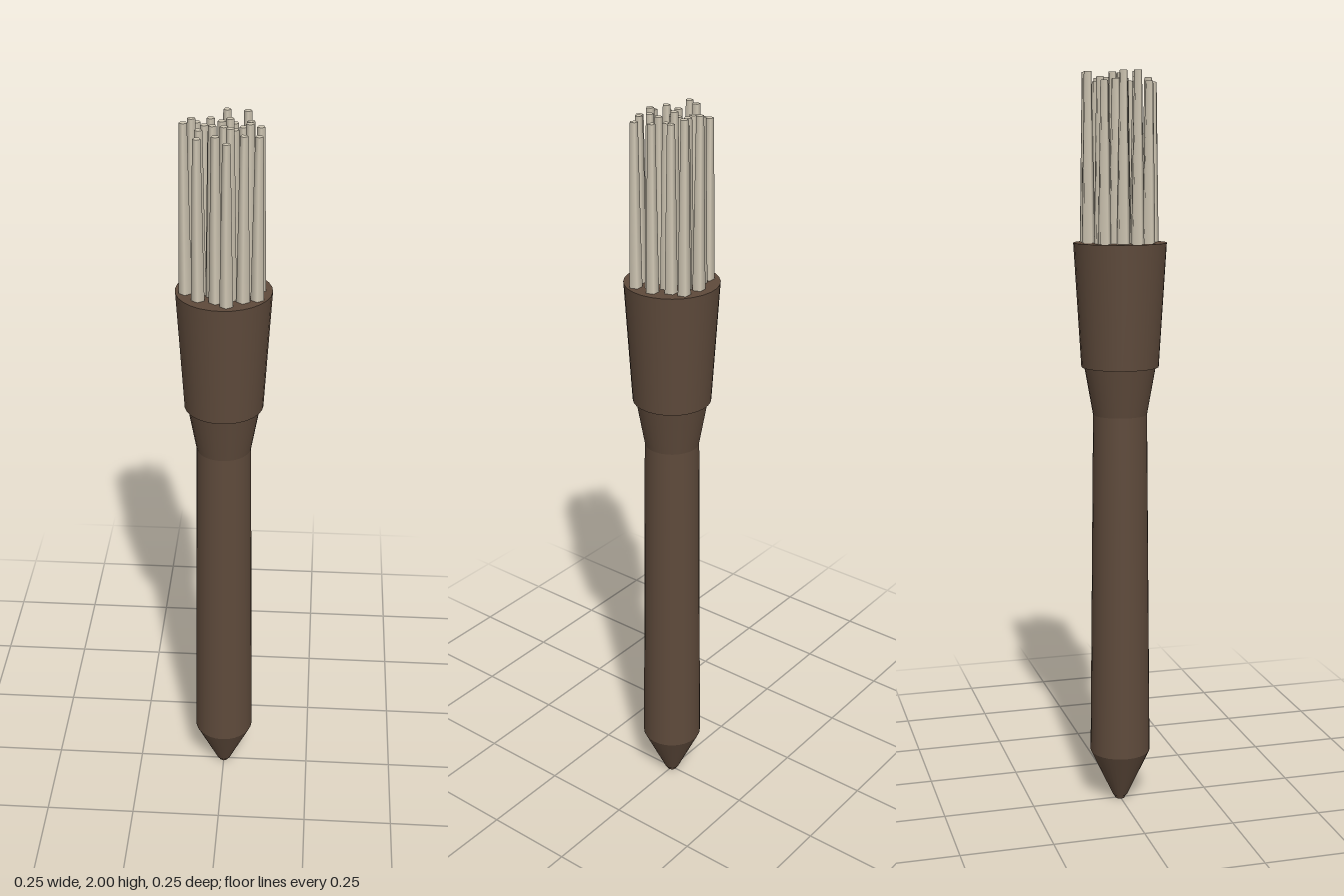
import * as THREE from 'three';

export function createModel() {
  const model = new THREE.Group();
  const brown = new THREE.MeshStandardMaterial({ color: 0x5e4a3b });
  brown.name = 'dark wood';
  const cream = new THREE.MeshStandardMaterial({ color: 0xd0c7b4 });
  cream.name = 'pale bristle';

  const add = (parent, name, geometry, material, x, y, z) => {
    const mesh = new THREE.Mesh(geometry, material);
    mesh.name = name;
    mesh.position.set(x, y, z);
    parent.add(mesh);
    return mesh;
  };
  // Tapered round section between two heights
  const section = (name, rBottom, rTop, y0, y1, sides = 28) =>
    add(model, name, new THREE.CylinderGeometry(rTop, rBottom, y1 - y0, sides), brown, 0, (y0 + y1) / 2, 0);

  // Handle, from the pointed end up to the socket
  section('tipEnd', 0.014, 0.02, 0, 0.014, 8);
  section('pointedTip', 0.02, 0.083, 0.01, 0.145);
  section('handle', 0.083, 0.073, 0.145, 1.1);
  section('neck', 0.073, 0.097, 1.1, 1.235);
  section('socket', 0.104, 0.124, 1.23, 1.56);

  // Bristles: x, z and top height
  const bristles = [
    [0.003, -0.086, 2], [0.054, -0.079, 2], [-0.07, -0.061, 1.975], [-0.036, -0.063, 1.985], [0.023, -0.059, 1.975],
    [-0.008, -0.042, 1.985], [0.063, -0.045, 1.985], [-0.049, -0.026, 1.98], [-0.079, -0.013, 2], [0.014, -0.017, 2],
    [0.046, -0.017, 1.98], [0, -0.002, 1.985], [-0.029, 0.003, 1.975], [0.089, -0.006, 1.985], [-0.096, 0.021, 2],
    [-0.059, 0.027, 1.985], [0.028, 0.02, 1.985], [0.064, 0.018, 2], [-0.025, 0.037, 2], [0.087, 0.049, 1.98],
    [0.019, 0.053, 2], [-0.061, 0.061, 1.975], [-0.016, 0.071, 1.985], [0.052, 0.062, 1.985], [0.012, 0.092, 1.975],
  ];
  const tuft = new THREE.Group();
  tuft.name = 'bristles';
  model.add(tuft);
  const base = 1.55;
  for (const [x, z, top] of bristles) {
    const geometry = new THREE.CylinderGeometry(0.0105, 0.018, top - base, 5);
    add(tuft, 'bristle', geometry, cream, x, (top + base) / 2, z);
  }
  return model;
}
